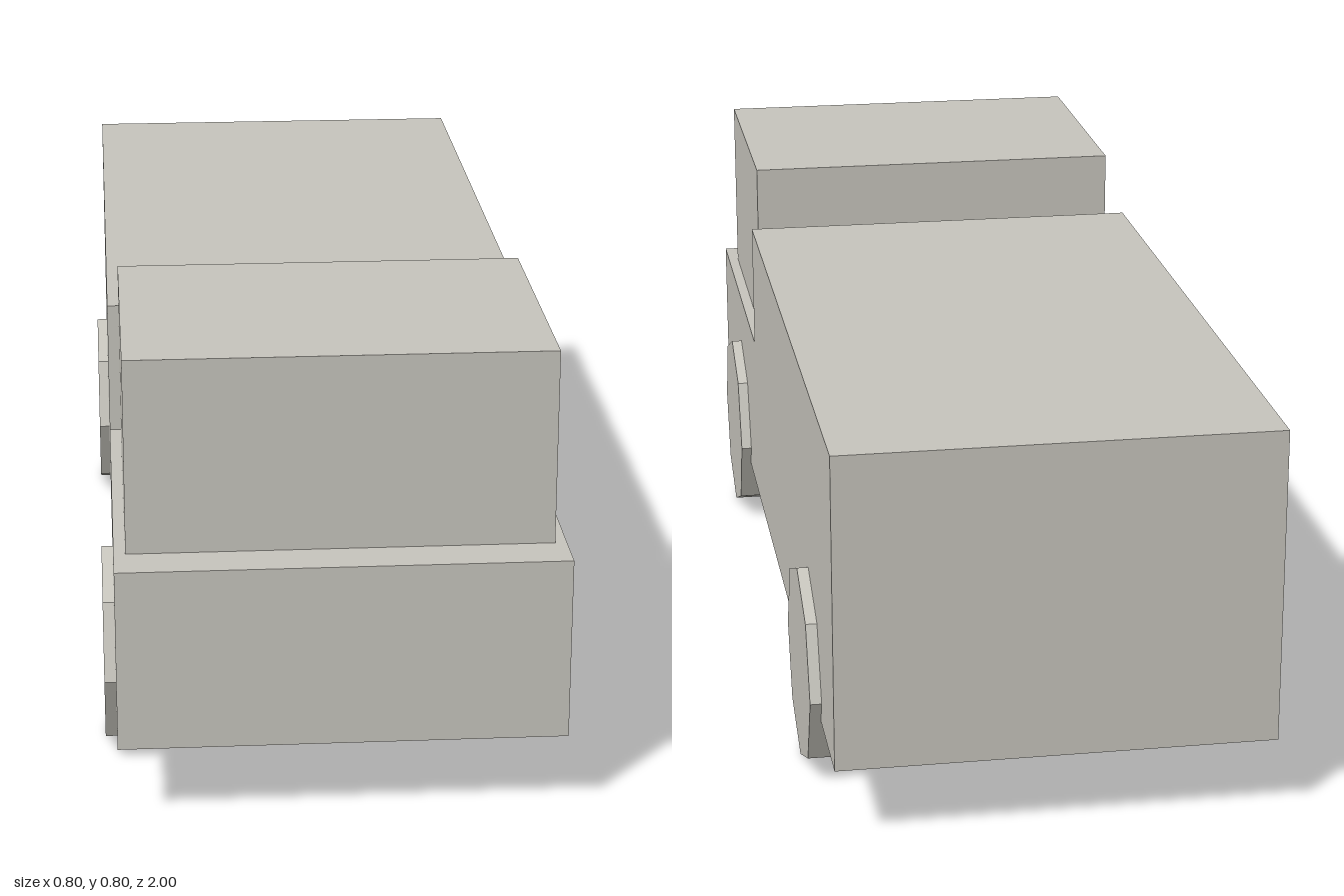
import * as THREE from 'three';

export function createModel() {
  const model = new THREE.Group();
  model.name = 'truck';

  const paint = new THREE.MeshStandardMaterial({ color: 0xc8c6be, flatShading: true });
  paint.name = 'warm grey';

  const add = (name, geometry, x, y, z) => {
    const mesh = new THREE.Mesh(geometry, paint);
    mesh.name = name;
    mesh.position.set(x, y, z);
    model.add(mesh);
  };

  // Body: stepped side profile (z, y) with a low nose and a tall cargo box
  const width = 0.76;
  const profile = new THREE.Shape([
    [-1, 0.14], [1, 0.14], [1, 0.46], [0.32, 0.46], [0.32, 0.7], [-1, 0.7],
  ].map(([z, y]) => new THREE.Vector2(z, y)));
  const body = new THREE.ExtrudeGeometry(profile, { depth: width, bevelEnabled: false });
  body.translate(0, 0, -width / 2).rotateY(-Math.PI / 2);
  add('body', body, 0, 0, 0);

  // Cab sitting on the nose
  add('cab', new THREE.BoxGeometry(0.72, 0.34, 0.52), 0, 0.63, 0.66);

  // Eight-sided wheels
  const wheel = new THREE.CylinderGeometry(0.18, 0.18, 0.12, 8).rotateZ(Math.PI / 2);
  for (const [side, x] of [['Left', 0.34], ['Right', -0.34]]) {
    add('frontWheel' + side, wheel, x, 0.18, 0.64);
    add('rearWheel' + side, wheel, x, 0.18, -0.64);
  }

  return model;
}
